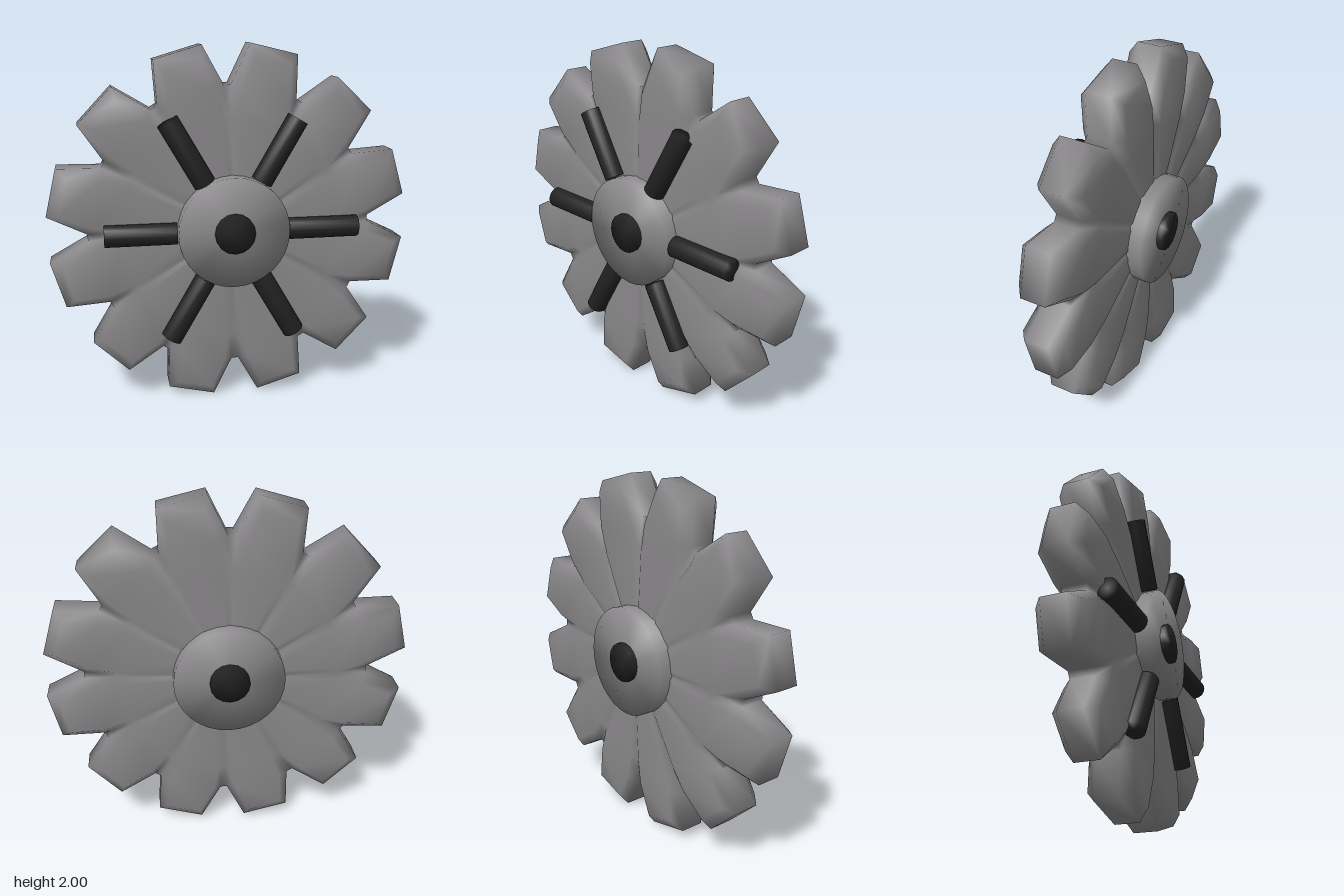
import * as THREE from 'three';
import { mergeVertices } from 'three/addons/utils/BufferGeometryUtils.js';

const PETALS = 12;
const STEP = (Math.PI * 2) / PETALS;
const OFFSET = THREE.MathUtils.degToRad(16.6);
const CENTRE_Y = 1.001;

// Weld all vertices so normals run smoothly across every edge
function smooth(geometry) {
  geometry.deleteAttribute('normal');
  geometry.deleteAttribute('uv');
  const g = mergeVertices(geometry, 1e-4);
  g.computeVertexNormals();
  return g;
}

// Petalled wheel body: bevelled petals with grooves running to the hub
function wheelGeometry() {
  const t = Math.tan(STEP / 2);
  // [distance along petal, half width, half depth]
  const valley = [[0.2, 0.2 * t, 0.116], [0.6, 0.6 * t, 0.1], [0.765, 0.185, 0.068], [0.997, 0.133, 0.068]];
  const ridge = [[0.2, 0.035, 0.122], [0.6, 0.122, 0.122], [0.75, 0.135, 0.122], [0.935, 0.1, 0.122]];
  const pos = [];
  const tri = (a, b, c) => pos.push(...a, ...b, ...c);
  const quad = (a, b, c, d) => { tri(a, b, c); tri(a, c, d); };

  for (let k = 0; k < PETALS; k++) {
    const place = (p, side, face, petal = k) => {
      const a = OFFSET + petal * STEP, c = Math.cos(a), s = Math.sin(a);
      return [p[0] * c - side * p[1] * s, p[0] * s + side * p[1] * c, face * p[2]];
    };
    // front and back faces, the back being the mirrored front
    for (const face of [1, -1]) {
      const q = (a, b, c, d) => (face > 0 ? quad(a, b, c, d) : quad(d, c, b, a));
      for (let i = 0; i < 3; i++) {
        const V = (j, s) => place(valley[j], s, face), R = (j, s) => place(ridge[j], s, face);
        q(V(i, -1), V(i + 1, -1), R(i + 1, -1), R(i, -1));
        q(R(i, -1), R(i + 1, -1), R(i + 1, 1), R(i, 1));
        q(R(i, 1), R(i + 1, 1), V(i + 1, 1), V(i, 1));
      }
      // bevel at the tip
      q(place(ridge[3], -1, face), place(valley[3], -1, face), place(valley[3], 1, face), place(ridge[3], 1, face));
      // floor of the notch beside the next petal
      const n = [place(valley[1], 1, face), place(valley[2], 1, face), place(valley[2], -1, face, k + 1)];
      if (face > 0) tri(n[0], n[1], n[2]); else tri(n[2], n[1], n[0]);
    }
    // outer wall: near side, tip, far side, notch
    const rim = [
      [valley[2], -1, k], [valley[3], -1, k], [valley[3], 1, k], [valley[2], 1, k], [valley[2], -1, k + 1],
    ];
    for (let i = 0; i < 4; i++) {
      const [p, s, m] = rim[i], [p2, s2, m2] = rim[i + 1];
      quad(place(p, s, -1, m), place(p2, s2, -1, m2), place(p2, s2, 1, m2), place(p, s, 1, m));
    }
  }
  const g = new THREE.BufferGeometry();
  g.setAttribute('position', new THREE.Float32BufferAttribute(pos, 3));
  return smooth(g);
}

export function createModel() {
  const grey = new THREE.MeshStandardMaterial({ color: 0x8a888a });
  grey.name = 'grey metal';
  const black = new THREE.MeshStandardMaterial({ color: 0x222222 });
  black.name = 'black';

  const model = new THREE.Group();
  model.name = 'petalWheel';
  const add = (name, geometry, material, parent = model) => {
    const mesh = new THREE.Mesh(geometry, material);
    mesh.name = name;
    parent.add(mesh);
    return mesh;
  };

  add('wheelBody', wheelGeometry(), grey);

  // Hub and axle run through the wheel along z
  const disc = (r, depth, sides) => smooth(new THREE.CylinderGeometry(r, r, depth, sides)).rotateX(Math.PI / 2);
  add('hub', disc(0.306, 0.385, 32), grey);
  add('axle', disc(0.11, 0.435, 16), black);

  // Six rods lying on the front face
  const spokes = new THREE.Group();
  spokes.name = 'spokes';
  model.add(spokes);
  const rod = smooth(new THREE.CylinderGeometry(0.06, 0.06, 0.39, 16));
  rod.rotateZ(-Math.PI / 2).translate(0.505, 0, 0.136);
  for (let i = 0; i < 6; i++) add('spoke', rod, black, spokes).rotation.z = (i * Math.PI) / 3;

  for (const part of model.children) part.position.y = CENTRE_Y;
  return model;
}
